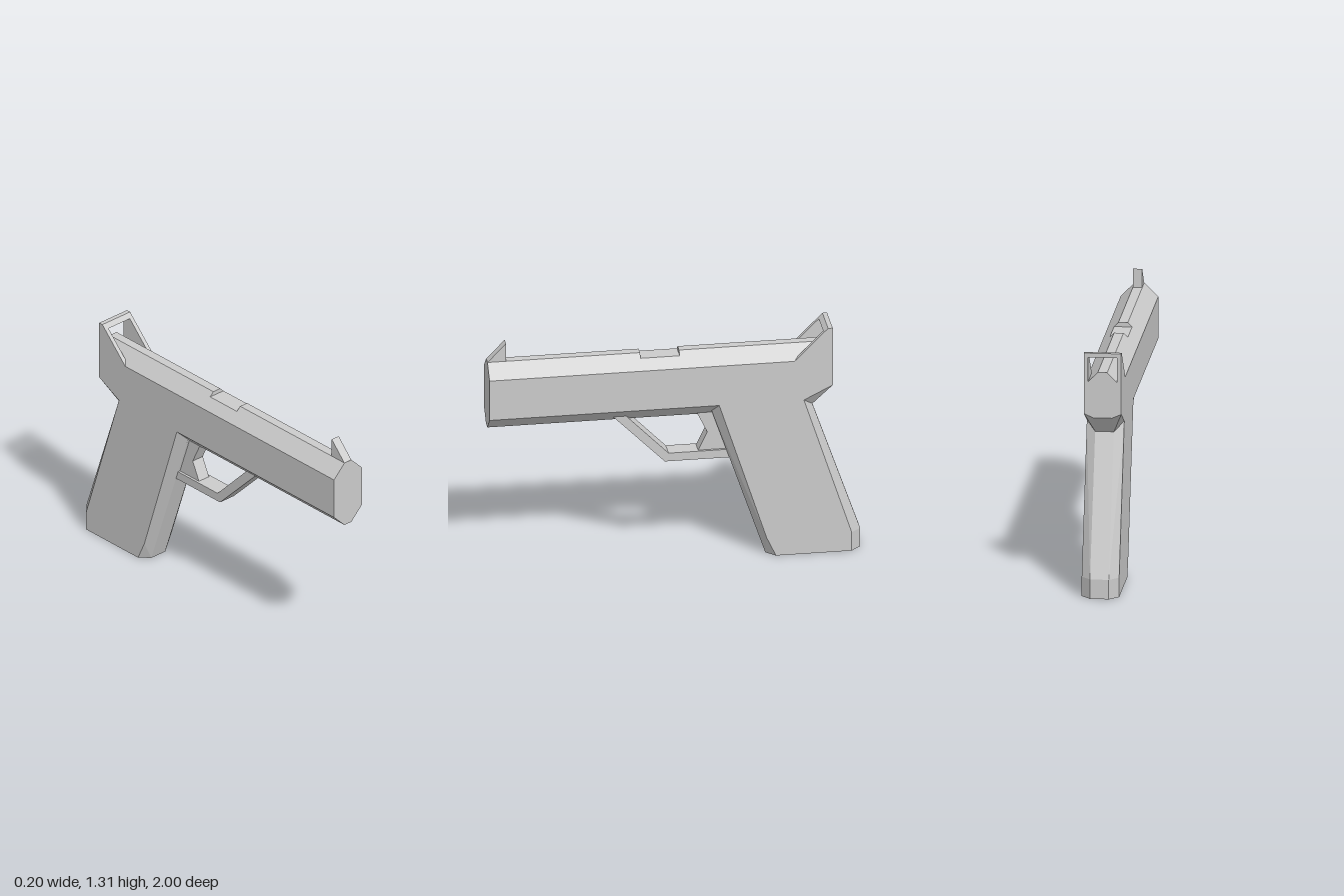
import * as THREE from 'three';
import { ConvexGeometry } from 'three/addons/geometries/ConvexGeometry.js';

const material = new THREE.MeshStandardMaterial({ color: 0xcccccc, flatShading: true });

function extrude(points, depth) {
  const shape = new THREE.Shape(points.map(([a, b]) => new THREE.Vector2(a, b)));
  return new THREE.ExtrudeGeometry(shape, { depth, bevelEnabled: false });
}

// Side profile given as [z, y], extruded from x0 to x1
function sideProfile(points, x0, x1) {
  return extrude(points.map(([z, y]) => [-z, y]), x1 - x0).rotateY(Math.PI / 2).translate(x0, 0, 0);
}

// Cross-section given as [x, y], extruded from z0 to z1
function crossSection(points, z0, z1) {
  return extrude(points, z1 - z0).translate(0, 0, z0);
}

// Convex block from [x, y, z] corners, mirrored across x = 0
function mirroredHull(corners) {
  return new ConvexGeometry(corners.flatMap(([x, y, z]) => [
    new THREE.Vector3(x, y, z), new THREE.Vector3(-x, y, z)]));
}

export function createModel() {
  const model = new THREE.Group();
  const add = (name, geometry) => {
    const mesh = new THREE.Mesh(geometry, material);
    mesh.name = name;
    model.add(mesh);
  };

  // Slide: straight-sided middle, bevelled underside and bevelled top
  add('slideBody', sideProfile(
    [[1, 0.9], [-0.69, 0.9], [-0.845, 0.977], [-0.845, 1.13], [1, 1.13]], -0.1, 0.1));
  add('slideUnderside', crossSection(
    [[-0.1, 0.9], [-0.025, 0.825], [0.025, 0.825], [0.1, 0.9]], -0.4, 1));

  // The top is lower over the short ejection notch
  const tops = [['slideTopFront', 0.18, 1, 1.205], ['ejectionNotch', -0.03, 0.18, 1.182],
    ['slideTopRear', -0.845, -0.03, 1.205]];
  for (const [name, z0, z1, y] of tops) {
    const half = 0.1 - (y - 1.13);
    add(name, crossSection([[-0.1, 1.13], [0.1, 1.13], [half, y], [-half, y]], z0, z1));
  }

  // Front sight wedge
  add('frontSight', sideProfile([[1, 1.204], [0.9, 1.204], [0.9, 1.308]], -0.025, 0.025));

  // Rear sight: two sloped walls joined by a top bar
  const wall = [[-0.64, 1.13], [-0.82, 1.31], [-0.845, 1.31], [-0.845, 1.13]];
  add('rearSightLeftWall', sideProfile(wall, 0.077, 0.1));
  add('rearSightRightWall', sideProfile(wall, -0.1, -0.077));
  add('rearSightBar', sideProfile(
    [[-0.797, 1.287], [-0.82, 1.31], [-0.845, 1.31], [-0.845, 1.287]], -0.077, 0.077));

  // Raked grip with chamfered front and back
  add('grip', mirroredHull([
    [0.05, 0.853, -0.2], [0.1, 0.9, -0.235], [0.1, 0.9, -0.69], [0.05, 0.853, -0.743],
    [0.05, 0.107, -0.455], [0.1, 0.107, -0.49], [0.1, 0.107, -0.947], [0.05, 0.107, -1],
    [0.05, 0, -0.49], [0.1, 0, -0.54], [0.1, 0, -0.947], [0.05, 0, -1]]));

  // Tang blending the grip into the back of the slide
  add('tang', mirroredHull([
    [0.05, 0.853, -0.743], [0.1, 0.9, -0.69], [0.05, 0.955, -0.845], [0.1, 0.977, -0.845],
    [0.05, 0.853, -0.66]]));

  // Trigger guard and trigger
  add('triggerGuard', sideProfile(
    [[0.33, 0.852], [0.05, 0.57], [-0.32, 0.57], [-0.32, 0.617], [0.03, 0.617], [0.26, 0.852]],
    -0.05, 0.05));
  add('trigger', sideProfile(
    [[-0.125, 0.835], [-0.18, 0.72], [-0.13, 0.615], [-0.3, 0.615], [-0.23, 0.835]],
    -0.036, 0.036));

  return model;
}
